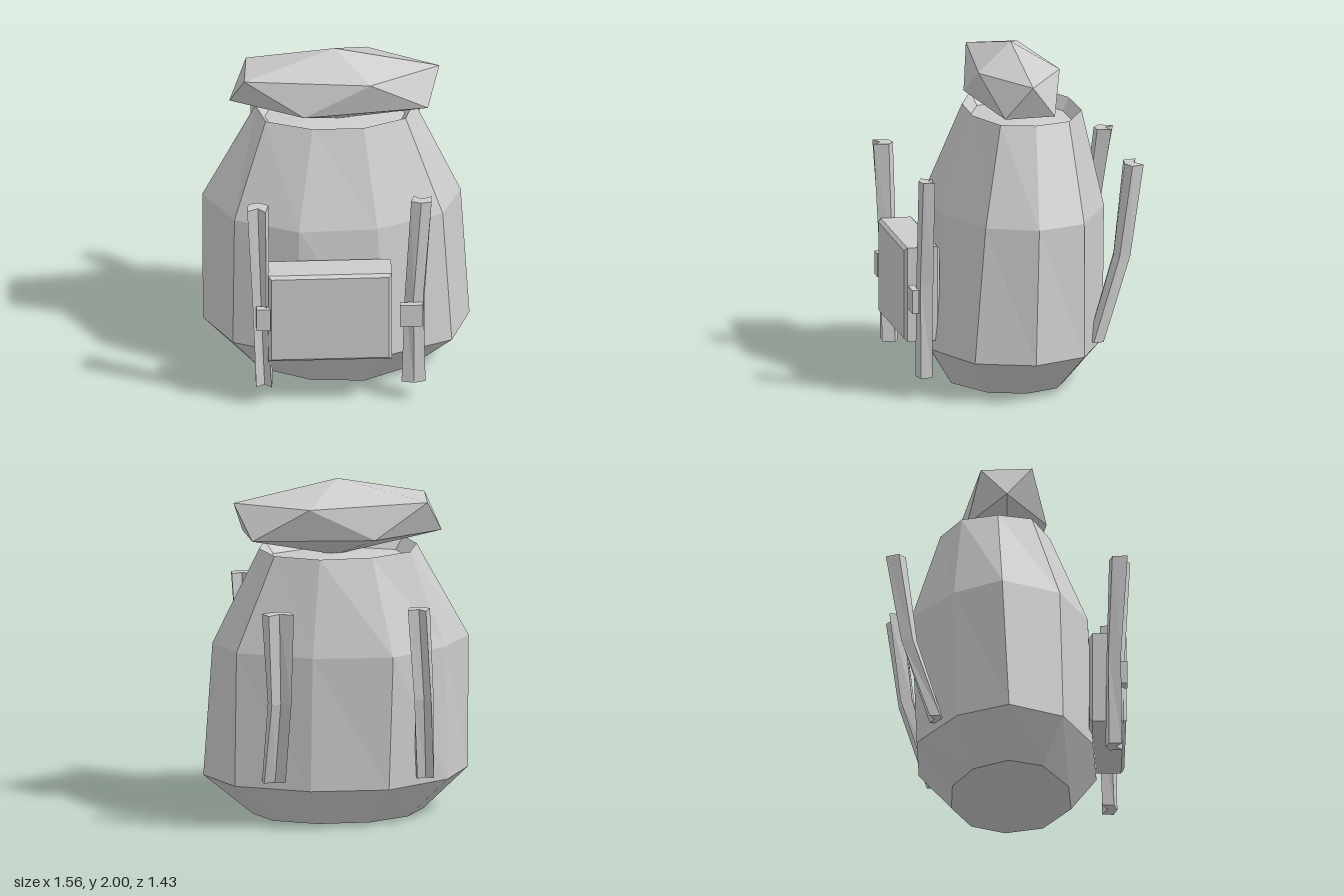
import * as THREE from 'three';
import { ConvexGeometry } from 'three/addons/geometries/ConvexGeometry.js';

const grey = new THREE.MeshStandardMaterial({ color: 0xcccccc });
grey.name = 'plain grey';

const V = (x, y, z) => new THREE.Vector3(x, y, z);

// Flat-faceted skin through rings of points (bottom to top), closed by fans
function loft(rings, bottomCentre, topCentre) {
  const tris = [];
  const n = rings[0].length;
  const last = rings[rings.length - 1];
  for (let i = 0; i < n; i++) {
    const j = (i + 1) % n;
    for (let k = 0; k < rings.length - 1; k++) {
      const [a, b, c, d] = [rings[k][i], rings[k][j], rings[k + 1][j], rings[k + 1][i]];
      tris.push(a, d, c, a, c, b);
    }
    tris.push(bottomCentre, rings[0][i], rings[0][j], topCentre, last[j], last[i]);
  }
  const g = new THREE.BufferGeometry().setFromPoints(tris);
  g.computeVertexNormals();
  return g;
}

const ring = (y, pts) => pts.map(([x, z]) => V(x, y, z));

// Ten-sided sack with a sunken mouth
function bodyGeometry() {
  const base = ring(0, [[0.49, 0], [0.42, 0.22], [0.15, 0.38], [-0.16, 0.36], [-0.45, 0.2],
    [-0.52, 0], [-0.4, -0.2], [-0.16, -0.32], [0.15, -0.32], [0.4, -0.2]]);
  const low = ring(0.24, [[0.78, 0.01], [0.66, 0.35], [0.26, 0.53], [-0.24, 0.5], [-0.62, 0.32],
    [-0.78, 0], [-0.62, -0.3], [-0.24, -0.53], [0.22, -0.51], [0.64, -0.31]]);
  const waist = ring(1.04, [[0.73, -0.02], [0.61, 0.275], [0.22, 0.45], [-0.24, 0.47], [-0.61, 0.3],
    [-0.78, -0.04], [-0.6, -0.32], [-0.26, -0.56], [0.21, -0.52], [0.63, -0.31]]);
  const rim = ring(1.605, [[0.46, -0.06], [0.4, 0.14], [0.15, 0.25], [-0.15, 0.25], [-0.42, 0.14],
    [-0.47, -0.06], [-0.4, -0.27], [-0.16, -0.39], [0.15, -0.4], [0.4, -0.27]]);
  const mouth = rim.map((p) => V(p.x * 0.88, 1.53, -0.07 + (p.z + 0.07) * 0.87));
  return loft([base, low, waist, rim, mouth], V(0, 0, 0.02), V(0, 1.56, -0.07));
}

// Squashed, slightly uneven twenty-sided bedroll
function bedrollGeometry() {
  return new ConvexGeometry([
    V(-0.01, 2, -0.01), V(0, 1.54, 0),
    ...ring(1.87, [[0.605, -0.01], [0.19, 0.225], [-0.545, 0.14], [-0.52, -0.16], [0.19, -0.26]]),
    ...ring(1.67, [[-0.625, -0.01], [-0.2, 0.23], [0.53, 0.14], [0.515, -0.16], [-0.2, -0.235]]),
  ]);
}

// Notched strap bar; each station is [x, y, z, width, depth, twist]
const SECTION = [[-0.5, -0.3], [0, -0.5], [0.5, -0.25], [0.4, 0.5], [0, 0.12], [-0.5, 0.45]];
function strapGeometry(stations) {
  const rings = stations.map(([x, y, z, w, d, t]) => SECTION.map(([u, v]) => {
    const px = u * Math.cos(t) - v * Math.sin(t);
    const pz = u * Math.sin(t) + v * Math.cos(t);
    return V(x + px * w, y, z + pz * d);
  }));
  const centre = ([x, y, z]) => V(x, y, z);
  return loft(rings, centre(stations[0]), centre(stations[stations.length - 1]));
}

// Pocket block with chamfered edges
function pocketGeometry() {
  const b = 0.018, w = 0.725 - 2 * b, h = 0.565 - 2 * b, d = 0.215 - 2 * b;
  const s = new THREE.Shape();
  s.moveTo(-w / 2, -h / 2);
  s.lineTo(w / 2, -h / 2);
  s.lineTo(w / 2, h / 2);
  s.lineTo(-w / 2, h / 2);
  s.closePath();
  const g = new THREE.ExtrudeGeometry(s, {
    depth: d, bevelEnabled: true, bevelSize: b, bevelThickness: b, bevelSegments: 1,
  });
  return g.translate(-0.068, 0.583, 0.585 - d / 2);
}

export function createModel() {
  const model = new THREE.Group();
  model.name = 'backpack';
  const add = (name, geometry) => {
    const mesh = new THREE.Mesh(geometry, grey);
    mesh.name = name;
    model.add(mesh);
    return mesh;
  };

  add('body', bodyGeometry());
  add('bedroll', bedrollGeometry());
  add('frontPocket', pocketGeometry());

  // Four bent straps, listed from bottom to top
  const straps = {
    frontRightStrap: [
      [-0.45, 0.125, 0.62, 0.1, 0.1, 0],
      [-0.47, 0.69, 0.625, 0.09, 0.1, 0.2],
      [-0.49, 1.31, 0.65, 0.12, 0.12, 0.1],
    ],
    frontLeftStrap: [
      [0.42, 0.125, 0.61, 0.14, 0.09, 3.1],
      [0.43, 0.69, 0.6, 0.11, 0.1, 3.3],
      [0.47, 1.31, 0.6, 0.12, 0.09, 3.2],
    ],
    backRightStrap: [
      [-0.47, 0.285, -0.42, 0.11, 0.08, 3.1],
      [-0.44, 0.79, -0.575, 0.11, 0.09, 3.3],
      [-0.4, 1.35, -0.65, 0.12, 0.11, 3.4],
    ],
    backLeftStrap: [
      [0.42, 0.285, -0.42, 0.14, 0.08, 3.1],
      [0.41, 0.79, -0.575, 0.13, 0.09, 3.0],
      [0.43, 1.345, -0.64, 0.17, 0.1, 2.9],
    ],
  };
  for (const [name, stations] of Object.entries(straps)) add(name, strapGeometry(stations));

  // Buckles on the front straps
  add('rightBuckle', new THREE.BoxGeometry(0.08, 0.14, 0.045)).position.set(-0.46, 0.585, 0.675);
  add('leftBuckle', new THREE.BoxGeometry(0.135, 0.14, 0.04)).position.set(0.408, 0.585, 0.665);

  return model;
}
